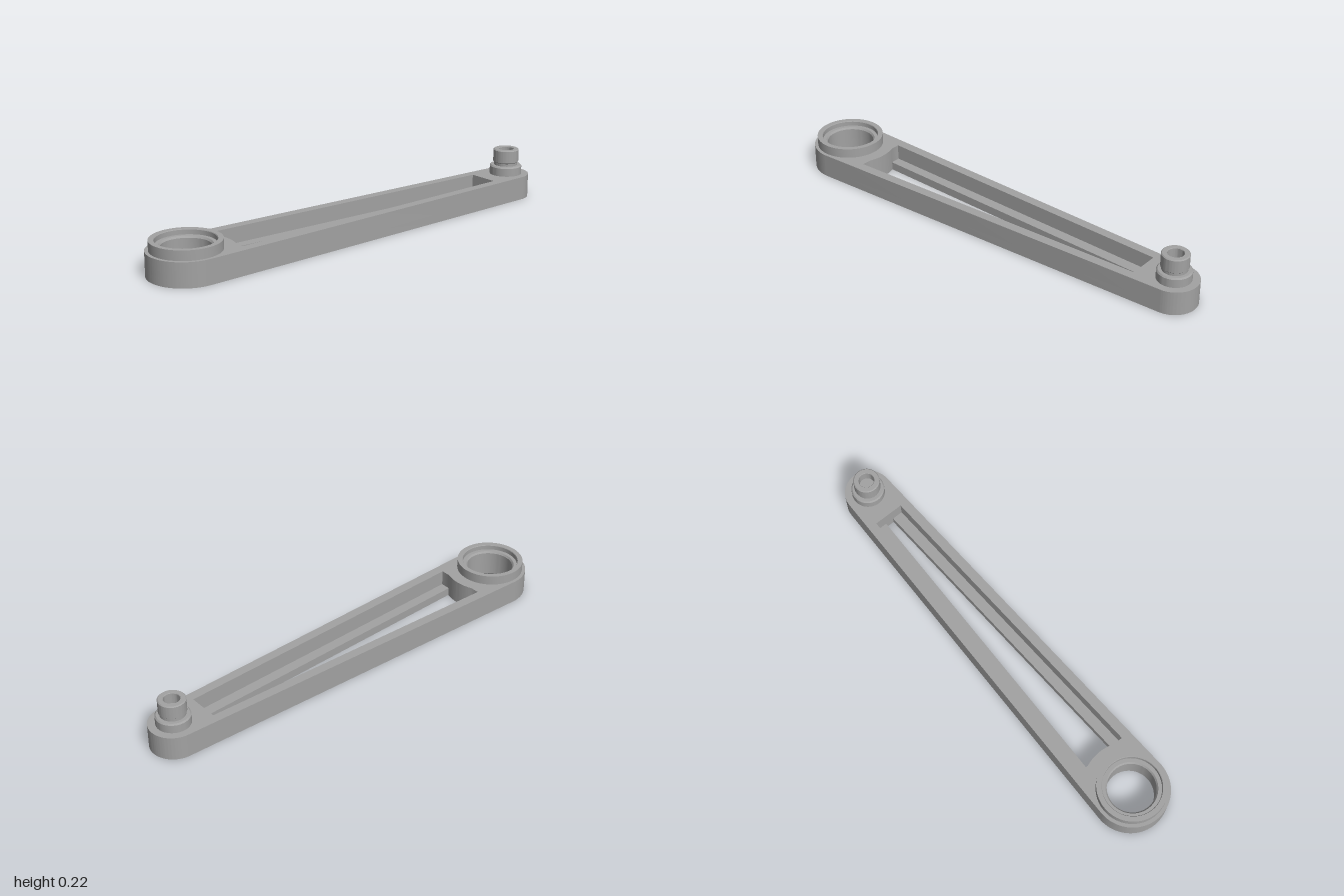
import * as THREE from 'three';
import { toCreasedNormals } from 'three/addons/utils/BufferGeometryUtils.js';

const BIG_R = 0.165, SMALL_R = 0.106, HEIGHT = 0.107, LEDGE_Y = 0.037;
const BIG = new THREE.Vector2(-0.835, -0.183);
const SMALL = new THREE.Vector2(0.894, 0.244);
const LENGTH = BIG.distanceTo(SMALL);

// Tapered link outline: two round ends joined by their tangents
function outline() {
  const phi = Math.acos((BIG_R - SMALL_R) / LENGTH);
  const s = new THREE.Shape();
  s.absarc(0, 0, BIG_R, phi, 2 * Math.PI - phi, false);
  s.absarc(LENGTH, 0, SMALL_R, -phi, phi, false);
  s.closePath();
  return s;
}

// Tapered opening whose wide end is bitten into by the round boss
function opening(wideHalf, narrowHalf) {
  const start = 0.191, end = 1.636, boss = 0.205;
  const a = Math.asin(Math.min(wideHalf, Math.sqrt(boss * boss - start * start)) / boss);
  const p = new THREE.Path();
  p.moveTo(end, -narrowHalf);
  p.lineTo(end, narrowHalf);
  p.lineTo(start, wideHalf);
  p.absarc(0, 0, boss, a, -a, true);
  p.lineTo(start, -wideHalf);
  p.closePath();
  return p;
}

export function createModel() {
  const metal = new THREE.MeshStandardMaterial({ color: 0xa2a2a2 });
  metal.name = 'grey metal';
  const model = new THREE.Group();
  model.name = 'linkArm';

  // The arm is built along its own axis, then turned into place
  const arm = new THREE.Group();
  arm.name = 'arm';
  arm.position.set(BIG.x, 0, BIG.y);
  arm.rotation.y = -Math.atan2(SMALL.y - BIG.y, SMALL.x - BIG.x);
  model.add(arm);

  const add = (name, geometry, x = 0) => {
    const mesh = new THREE.Mesh(toCreasedNormals(geometry, 0.45), metal);
    mesh.name = name;
    mesh.position.x = x;
    arm.add(mesh);
  };

  // One level of the body, from y0 to y1
  const layer = (name, y0, y1, wideHalf, narrowHalf) => {
    const shape = outline();
    const bore = new THREE.Path();
    bore.absarc(0, 0, 0.129, 0, Math.PI * 2, true);
    shape.holes.push(bore, opening(wideHalf, narrowHalf));
    const g = new THREE.ExtrudeGeometry(shape, { depth: y1 - y0, bevelEnabled: false, curveSegments: 48 });
    g.rotateX(Math.PI / 2);
    g.translate(0, y1, 0);
    add(name, g);
  };
  layer('lowerBodyWithLedge', 0, LEDGE_Y, 0.07, 0.02);
  layer('upperBodyWithPocket', LEDGE_Y, HEIGHT, 0.115, 0.069);

  const turned = (name, profile, x) => add(name,
    new THREE.LatheGeometry(profile.map(([r, y]) => new THREE.Vector2(r, y)), 64), x);

  // Raised bearing ring with a stepped bore
  turned('bearingRing', [
    [0.15, 0.1], [0.15, 0.15], [0.128, 0.15], [0.126, 0.147], [0.126, 0.127],
    [0.11, 0.127], [0.104, 0.119], [0.104, 0.008], [0.112, 0], [0.13, 0],
  ], 0);

  // Collar with a chamfered rim
  turned('pinCollar', [
    [0.0735, 0.1], [0.0735, 0.144], [0.068, 0.15], [0, 0.15],
  ], LENGTH);

  // Pin with a neck and a socket in its top
  turned('pin', [
    [0.054, 0.148], [0.054, 0.162], [0.0585, 0.166], [0.0585, 0.221],
    [0.0545, 0.225], [0.036, 0.225], [0.034, 0.222], [0.034, 0.175], [0, 0.175],
  ], LENGTH);

  return model;
}
